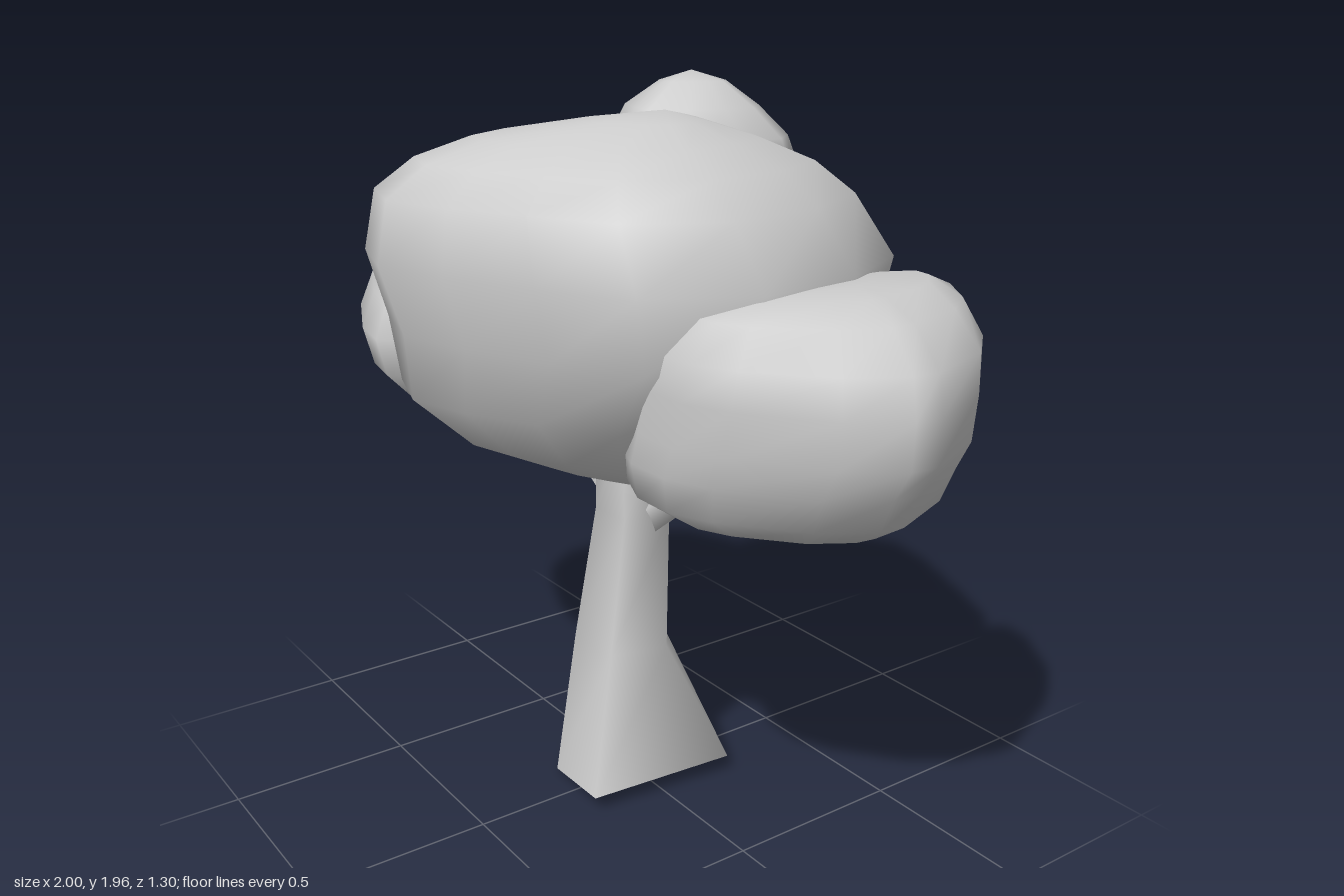
import * as THREE from 'three';

const grey = new THREE.MeshStandardMaterial({ color: 0xcccccc });
grey.name = 'plain grey';

// Skins a stack of rings. Each ring stretches an outline (x, z points, counter-clockwise
// from above) to [y, xMin, xMax, zMin, zMax, tilt, ownOutline]; bottom and top are optional end points.
function loft(name, outline, rings, bottom, top) {
  const n = outline.length, pos = [], index = [];
  for (const [y, xa, xb, za, zb, tilt = 0, shape = outline] of rings) {
    const xs = shape.map(p => p[0]), zs = shape.map(p => p[1]);
    const x0 = Math.min(...xs), w = Math.max(...xs) - x0;
    const z0 = Math.min(...zs), d = Math.max(...zs) - z0;
    for (const [px, pz] of shape) {
      const x = xa + (xb - xa) * (px - x0) / w;
      pos.push(x, y + tilt * x, za + (zb - za) * (pz - z0) / d);
    }
  }
  for (let r = 0; r < rings.length - 1; r++) {
    for (let j = 0; j < n; j++) {
      const a = r * n + j, b = r * n + (j + 1) % n;
      index.push(a, b, b + n, a, b + n, a + n);
    }
  }
  const close = (point, start, up) => {
    const c = pos.length / 3;
    pos.push(...point);
    for (let j = 0; j < n; j++) {
      const a = start + j, b = start + (j + 1) % n;
      index.push(c, up ? a : b, up ? b : a);
    }
  };
  if (bottom) close(bottom, 0, false);
  if (top) close(top, (rings.length - 1) * n, true);
  const geo = new THREE.BufferGeometry();
  geo.setAttribute('position', new THREE.Float32BufferAttribute(pos, 3));
  geo.setIndex(index);
  geo.computeVertexNormals();
  const mesh = new THREE.Mesh(geo, grey);
  mesh.name = name;
  return mesh;
}

// Tapered branch between two points
function branch(name, from, to, r0, r1) {
  const a = new THREE.Vector3(...from), b = new THREE.Vector3(...to);
  const dir = b.clone().sub(a);
  const mesh = new THREE.Mesh(new THREE.CylinderGeometry(r1, r0, dir.length(), 5), grey);
  mesh.position.copy(a).add(b).multiplyScalar(0.5);
  mesh.quaternion.setFromUnitVectors(new THREE.Vector3(0, 1, 0), dir.normalize());
  mesh.name = name;
  return mesh;
}

export function createModel() {
  const tree = new THREE.Group();
  tree.name = 'tree';

  // Five-sided trunk, rounder above its flared, slanted foot
  const foot = [[0.13, 0.21], [0.17, -0.2], [-0.24, -0.17], [-0.25, 0.05], [-0.1, 0.19]];
  const stem = [[0.75, 0.95], [1, -0.3], [-0.25, -1], [-1, -0.15], [-0.6, 0.95]];
  const footRing = [0.031, -0.25, 0.17, -0.21, 0.22, 0.12];
  tree.add(loft('trunk', foot, [
    footRing,
    [0.4, -0.2, 0.065, -0.16, 0.1, 0, stem],
    [0.82, -0.09, 0.11, -0.11, 0.09, 0, stem],
    [1.05, -0.1, 0.085, -0.09, 0.08, 0, stem],
  ]));
  tree.add(loft('trunkBase', foot, [footRing], [-0.04, 0.026, 0]));

  // Branches reaching into the side clumps
  tree.add(branch('rightBranch', [-0.03, 0.81, 0], [-0.45, 1.1, 0.04], 0.052, 0.035));
  tree.add(branch('leftBranch', [0.05, 0.8, -0.02], [0.38, 1.08, -0.06], 0.055, 0.045));

  // Main canopy
  tree.add(loft('mainCanopy', [
    [0.65, 0.1], [0.61, -0.2], [0.48, -0.45], [0.28, -0.54], [0.07, -0.62], [-0.13, -0.65], [-0.33, -0.55],
    [-0.53, -0.27], [-0.54, 0], [-0.51, 0.3], [-0.35, 0.57], [-0.13, 0.64], [0.08, 0.58], [0.3, 0.47], [0.52, 0.35],
  ], [
    [0.975, -0.14, 0.28, -0.22, 0.25],
    [1.04, -0.38, 0.38, -0.4, 0.42],
    [1.18, -0.49, 0.5, -0.54, 0.57],
    [1.35, -0.545, 0.63, -0.59, 0.59],
    [1.53, -0.55, 0.65, -0.65, 0.65],
    [1.68, -0.53, 0.55, -0.57, 0.61],
    [1.76, -0.43, 0.47, -0.45, 0.52],
    [1.815, -0.28, 0.37, -0.29, 0.4],
    [1.86, -0.02, 0.26, -0.1, 0.2],
  ], [0.12, 0.94, 0], [0.13, 1.88, 0]));

  // Small clump on top
  tree.add(loft('topClump', [
    [0.21, -0.3], [0.15, -0.37], [0, -0.34], [-0.13, -0.31], [-0.17, -0.2],
    [-0.13, -0.05], [0, 0], [0.08, 0], [0.16, -0.1], [0.2, -0.2],
  ], [
    [1.72, -0.21, 0.24, -0.4, 0.05],
    [1.8, -0.18, 0.22, -0.37, 0.03],
    [1.875, -0.13, 0.17, -0.3, 0],
    [1.935, -0.06, 0.085, -0.24, -0.09],
  ], [0.02, 1.7, -0.18], [0.01, 1.96, -0.17]));

  // Clump on the -x side
  tree.add(loft('rightClump', [
    [-1, 0.1], [-0.99, 0.23], [-0.92, 0.35], [-0.65, 0.47], [-0.5, 0.5], [-0.38, 0.38],
    [-0.28, 0.1], [-0.3, -0.25], [-0.4, -0.42], [-0.55, -0.31], [-0.7, -0.25], [-0.9, -0.16], [-0.98, -0.05],
  ], [
    [1.01, -0.78, -0.42, -0.2, 0.28],
    [1.07, -0.88, -0.33, -0.32, 0.4],
    [1.15, -0.95, -0.28, -0.39, 0.48],
    [1.25, -1, -0.28, -0.42, 0.5],
    [1.35, -0.965, -0.3, -0.4, 0.46],
    [1.51, -0.88, -0.36, -0.28, 0.37],
    [1.61, -0.8, -0.48, -0.12, 0.25],
    [1.648, -0.73, -0.56, -0.02, 0.17],
  ], [-0.63, 0.985, 0.07], [-0.65, 1.665, 0.08]));

  // Squarish clump on the +x side
  tree.add(loft('leftClump', [
    [1, -0.1], [0.92, -0.3], [0.8, -0.42], [0.6, -0.52], [0.45, -0.53], [0.33, -0.4], [0.29, -0.1],
    [0.31, 0.24], [0.45, 0.3], [0.58, 0.3], [0.7, 0.25], [0.9, 0.1], [0.99, -0.03],
  ], [
    [0.975, 0.35, 0.82, -0.41, 0.2],
    [1.03, 0.27, 0.905, -0.5, 0.28],
    [1.12, 0.26, 0.95, -0.51, 0.3],
    [1.2, 0.28, 1, -0.5, 0.3],
    [1.31, 0.32, 1, -0.51, 0.3],
    [1.4, 0.38, 0.97, -0.53, 0.29],
    [1.485, 0.45, 0.88, -0.49, 0.23],
    [1.52, 0.55, 0.77, -0.4, 0.11],
  ], [0.65, 0.95, -0.1], [0.67, 1.528, -0.15]));

  return tree;
}
